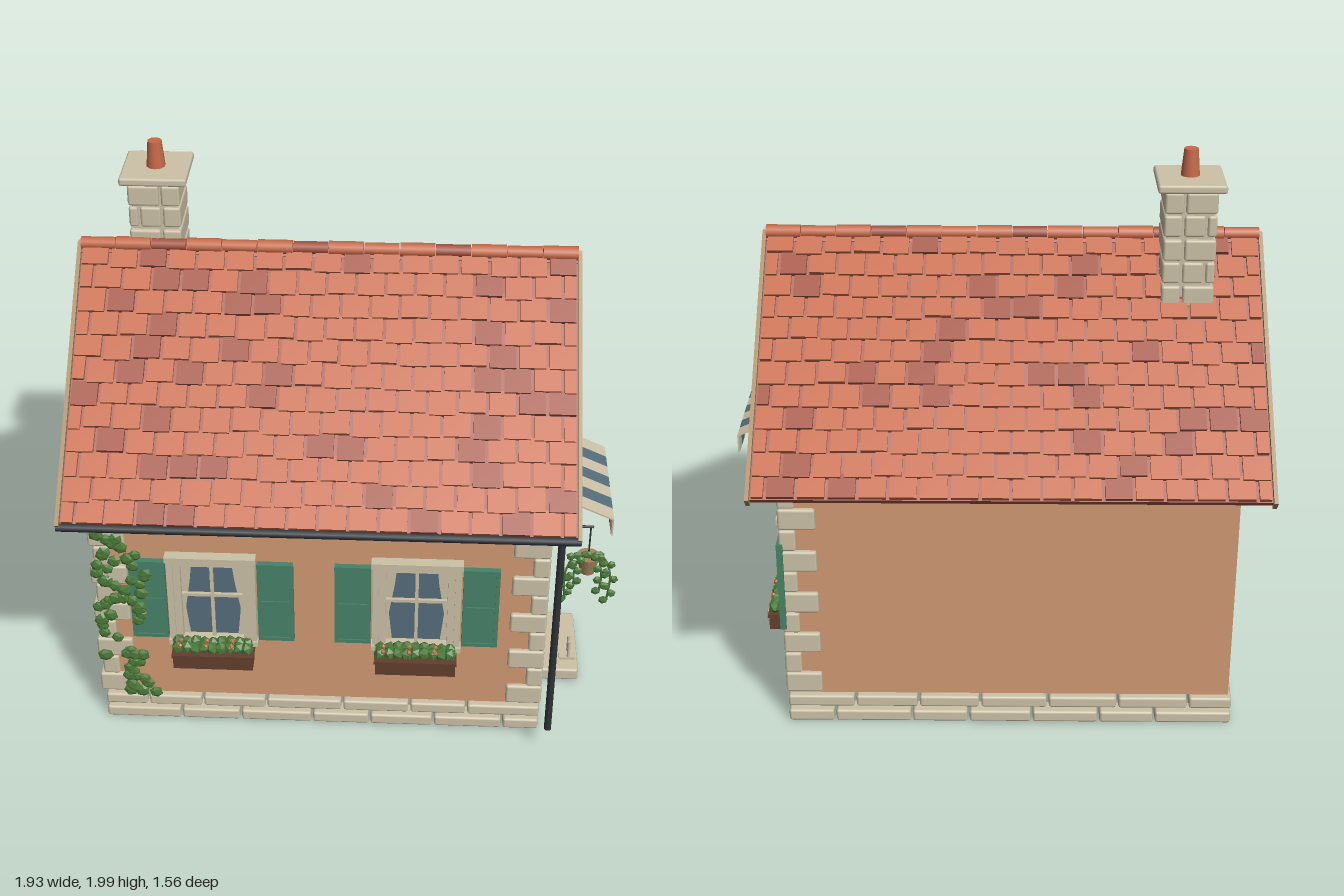
import * as THREE from 'three';
import { mergeGeometries } from 'three/addons/utils/BufferGeometryUtils.js';
import { RoundedBoxGeometry } from 'three/addons/geometries/RoundedBoxGeometry.js';

const colour = (name, hex, side = THREE.FrontSide) => {
  const m = new THREE.MeshStandardMaterial({ color: hex, side });
  m.name = name;
  return m;
};
const plaster = colour('plaster', 0xd09a72);
const stone = colour('stone', 0xcdc2a8, THREE.DoubleSide);
const tile = colour('terracotta', 0xc66a48);
const darkTile = colour('dark terracotta', 0xa3523f);
const green = colour('painted green', 0x488269);
const glass = colour('blue glass', 0x566d7b, THREE.DoubleSide);
const leaf = colour('leaf green', 0x4c7a3a);
const wood = colour('dark wood', 0x633f2c);
const timber = colour('pale timber', 0xa5875f);
const iron = colour('dark iron', 0x2e3238);

let seed = 11;
const rand = () => (seed = (seed * 16807) % 2147483647) / 2147483647;
const CX = -0.075, LEFT = -0.86, RIGHT = 0.71, FRONT = 0.62, BASE = 0.12, EAVE = 1.06;

// Geometry helpers
const at = (g, x, y, z, rx = 0, ry = 0, rz = 0) => g.rotateX(rx).rotateY(ry).rotateZ(rz).translate(x, y, z);
const box = (w, h, d, x, y, z, rx, ry, rz) => at(new THREE.BoxGeometry(w, h, d), x, y, z, rx, ry, rz);
const block = (w, h, d, x, y, z) => at(new RoundedBoxGeometry(w, h, d, 1, 0.009), x, y, z);
const rod = (r, h, x, y, z, rx, ry, rz) => at(new THREE.CylinderGeometry(r, r, h, 10), x, y, z, rx, ry, rz);
const blob = (r, x, y, z, flat = 1) =>
  at(new THREE.IcosahedronGeometry(r, 0).rotateZ(rand() * 6).scale(1, 1, flat), x, y, z);
function part(parent, name, material, geos) {
  const clean = [].concat(geos).map((g) => {
    const n = g.index ? g.toNonIndexed() : g;
    n.deleteAttribute('uv');
    return n;
  });
  const mesh = new THREE.Mesh(mergeGeometries(clean), material);
  mesh.name = name;
  parent.add(mesh);
}
function group(parent, name, x = 0, y = 0, z = 0, ry = 0) {
  const g = new THREE.Group();
  g.name = name;
  g.position.set(x, y, z);
  g.rotation.y = ry;
  parent.add(g);
  return g;
}

// Wall panel from an outline, with window openings, facing +z
function wall(points, openings = []) {
  const shape = new THREE.Shape(points.map((p) => new THREE.Vector2(...p)));
  for (const x of openings) {
    shape.holes.push(new THREE.Path([[-0.115, 0.39], [-0.115, 0.74], [0.115, 0.74], [0.115, 0.39]]
      .map(([a, b]) => new THREE.Vector2(x + a, b))));
  }
  return new THREE.ExtrudeGeometry(shape, { depth: 0.03, bevelEnabled: false }).translate(0, 0, -0.03);
}

function buildWalls(house) {
  const long = [[LEFT, BASE], [RIGHT, BASE], [RIGHT, EAVE], [LEFT, EAVE]];
  const gable = [[-0.59, BASE], [0.59, BASE], [0.59, 1.085], [0, 1.6], [-0.59, 1.085]];
  part(house, 'walls', plaster, [
    at(wall(long, [-0.46, 0.265]), 0, 0, FRONT),
    at(wall(long), 0, 0, -FRONT + 0.03),
    at(wall(gable, [0.355]), RIGHT, 0, 0, 0, Math.PI / 2),
    at(wall(gable), LEFT, 0, 0, 0, -Math.PI / 2),
  ]);

  // Two courses of foundation stones around the house
  const stones = [];
  const course = (len, y, shift, place) => {
    for (let a = -len / 2; a < len / 2 - 0.01;) {
      let w = a === -len / 2 ? shift : 0.2 + rand() * 0.09;
      if (a + w > len / 2 - 0.1) w = len / 2 - a;
      place(a + w / 2, w - 0.008, y);
      a += w;
    }
  };
  [0.033, 0.095].forEach((y, row) => {
    for (const s of [-1, 1]) {
      course(1.6, y, 0.28 - row * 0.12, (c, w) => stones.push(block(w, 0.044, 0.07, CX + c, y, s * 0.608)));
      course(1.14, y, 0.15 + row * 0.1, (c, w) => stones.push(block(0.07, 0.044, w, CX + s * 0.765, y, c)));
    }
  });
  part(house, 'foundationStones', stone, stones);

  // Corner stones, alternating long and short, on three corners
  const corners = [];
  for (const [sx, sz] of [[1, 1], [-1, 1], [1, -1]]) {
    for (let i = 0; i < 11; i++) {
      const w = i % 2 ? 0.06 : 0.13, d = i % 2 ? 0.07 : 0.095;
      const edge = sx > 0 ? 0.727 : i % 2 ? -0.873 : -0.888;
      corners.push(block(w, 0.08, d, edge - sx * w / 2, 0.17 + i * 0.083, sz * (0.637 - d / 2)));
    }
  }
  part(house, 'cornerStones', stone, corners);
}

function buildRoof(house) {
  const roof = group(house, 'roof', CX, 1.652, 0);
  const angle = Math.atan(0.868), length = 1.013, rows = 12, pitch = length / rows, cols = 17, cw = 1.742 / cols;
  for (const ry of [0, Math.PI]) {
    const slope = group(group(roof, 'roofSide', 0, 0, 0, ry), 'roofSlope');
    slope.rotation.x = angle;
    part(slope, 'roofDeck', darkTile, box(1.745, 0.025, length, 0, -0.022, length / 2));
    part(slope, 'bargeBoards', timber, [-1, 1].map((s) => box(0.014, 0.045, 1.025, s * 0.879, -0.012, 0.5125)));
    const light = [], dark = [];
    for (let r = 0; r < rows; r++) {
      for (let c = 0; c < cols + (r % 2); c++) {
        const x0 = Math.max(0, (c - (r % 2) / 2) * cw), x1 = Math.min(cols * cw, (c + 1 - (r % 2) / 2) * cw);
        const slip = r === rows - 1 ? 0 : rand() * 0.014;
        (rand() < 0.2 ? dark : light).push(box(x1 - x0 - 0.012, 0.016, pitch + 0.004,
          (x0 + x1) / 2 - 0.871, 0.001, (r + 0.5) * pitch + slip - 0.003, -0.11));
      }
    }
    part(slope, 'roofTiles', tile, light);
    part(slope, 'darkRoofTiles', darkTile, dark);
  }
  const ridge = [[], []];
  for (let i = 0; i < 14; i++) {
    ridge[i % 4 === 2 ? 1 : 0].push(rod(i % 2 ? 0.026 : 0.023, 0.122, -0.813 + i * 0.125, 0, 0, 0, 0, Math.PI / 2));
  }
  part(roof, 'ridgeTiles', tile, ridge[0]);
  part(roof, 'darkRidgeTiles', darkTile, ridge[1]);

  // Gutter and downpipe
  part(house, 'gutter', iron, [
    rod(0.016, 1.77, CX, 0.967, 0.758, 0, 0, Math.PI / 2),
    rod(0.013, 0.85, 0.747, 0.545, 0.753),
  ]);

  // Chimney of staggered stones with a cap and clay pot
  const chimney = group(house, 'chimney', -0.685, 0, -0.11);
  const stones = [box(0.16, 0.42, 0.18, 0, 1.67, 0)];
  for (let i = 0; i < 5; i++) {
    const y = 1.495 + i * 0.085, cuts = i % 2 ? [-0.095, -0.055, 0.025, 0.095] : [-0.095, 0.022, 0.095];
    for (let k = 0; k < cuts.length - 1; k++) {
      const w = cuts[k + 1] - cuts[k];
      stones.push(block(w - 0.008, 0.076, i % 2 ? 0.2 : 0.214, cuts[k] + w / 2, y, 0));
    }
  }
  stones.push(block(0.236, 0.03, 0.24, 0, 1.89, -0.005));
  part(chimney, 'chimneyStones', stone, stones);
  part(chimney, 'chimneyPot', tile, at(new THREE.CylinderGeometry(0.025, 0.034, 0.1, 10), 0, 1.95, 0));
}

// Window facing +z: frame, glass, curtains, shutters and flower box
function buildWindow(house, name, x, z, ry) {
  const w = group(house, name, x, 0, z, ry);
  part(w, 'glass', glass, at(new THREE.PlaneGeometry(0.23, 0.35), 0, 0.565, -0.01));
  const outline = [[0.112, 0.735], [0.07, 0.735], [0.078, 0.65], [0.098, 0.52], [0.09, 0.44], [0.085, 0.395], [0.112, 0.395]];
  part(w, 'curtains', stone, [-1, 1].map((s) => at(new THREE.ShapeGeometry(
    new THREE.Shape(outline.map(([a, b]) => new THREE.Vector2(s * a, b)))), 0, 0, -0.006)));
  const frame = [box(0.32, 0.022, 0.05, 0, 0.759, 0.015), box(0.3, 0.022, 0.036, 0, 0.738, 0.01),
    box(0.32, 0.02, 0.05, 0, 0.39, 0.015), box(0.012, 0.34, 0.012, 0, 0.565, 0.002), box(0.22, 0.012, 0.012, 0, 0.585, 0.002)];
  const shutters = [];
  for (const s of [-1, 1]) {
    frame.push(box(0.022, 0.35, 0.04, s * 0.145, 0.565, 0.01), box(0.026, 0.35, 0.026, s * 0.122, 0.565, 0.008));
    shutters.push(box(0.128, 0.34, 0.016, s * 0.226, 0.57, 0.012));
    for (const e of [-0.057, 0.057]) shutters.push(box(0.014, 0.34, 0.022, s * 0.226 + e, 0.57, 0.014));
    for (const y of [0.407, 0.57, 0.733]) shutters.push(box(0.128, 0.014, 0.022, s * 0.226, y, 0.014));
  }
  part(w, 'windowFrame', stone, frame);
  part(w, 'shutters', green, shutters);
  part(w, 'flowerBox', wood, [box(0.286, 0.055, 0.07, 0, 0.335, 0.05), box(0.295, 0.012, 0.078, 0, 0.363, 0.05)]);
  const plants = [], petals = [];
  for (let i = 0; i < 18; i++) {
    const px = -0.125 + (i % 9) * 0.031, pz = 0.035 + Math.floor(i / 9) * 0.03;
    plants.push(blob(0.024, px, 0.388 + rand() * 0.01, pz));
    if (i % 3 === 0) petals.push(blob(0.009, px + 0.01, 0.408, pz + 0.012));
  }
  part(w, 'boxPlants', leaf, plants);
  part(w, 'boxFlowers', tile, petals);
}

function buildEntrance(house) {
  // Plank door in a stone surround
  const door = group(house, 'door', RIGHT, 0, 0.195, Math.PI / 2);
  const planks = [box(0.27, 0.66, 0.008, 0, 0.45, 0.004)];
  for (let i = -2; i <= 2; i++) planks.push(box(0.05, 0.66, 0.016, i * 0.054, 0.45, 0.008));
  part(door, 'doorPlanks', green, planks);
  part(door, 'doorFrame', stone, [box(0.33, 0.035, 0.04, 0, 0.79, 0.015),
    ...[-1, 1].flatMap((s) => [box(0.03, 0.66, 0.04, s * 0.151, 0.45, 0.015), box(0.014, 0.66, 0.025, s * 0.172, 0.45, 0.01)])]);
  part(door, 'doorKnob', wood, at(new THREE.SphereGeometry(0.012, 10, 8), 0.105, 0.44, 0.026));

  // Striped awning with a hanging front edge
  const stripes = [[], []];
  for (let i = 0; i < 7; i++) {
    const z = 0.423 - i * 0.065;
    stripes[i % 2].push(box(0.255, 0.006, 0.065, 0.834, 0.892, z, 0, 0, -0.428), box(0.006, 0.07, 0.065, 0.949, 0.805, z));
  }
  part(house, 'awningPale', stone, stripes[0]);
  part(house, 'awningBlue', glass, stripes[1]);
  part(house, 'awningRod', iron, rod(0.008, 0.49, 0.722, 0.95, 0.205, Math.PI / 2));

  // Doorstep with a boot scraper
  part(house, 'doorstep', stone, [block(0.15, 0.05, 0.345, 0.81, 0.034, 0.192)]);
  part(house, 'bootScraper', stone, [box(0.06, 0.012, 0.05, 0.845, 0.064, 0.28),
    ...[0.262, 0.298].map((z) => rod(0.006, 0.085, 0.85, 0.1, z)), box(0.008, 0.012, 0.04, 0.85, 0.1, 0.28)]);

  // Round attic window
  const attic = group(house, 'atticWindow', RIGHT, 1.33, 0, Math.PI / 2);
  part(attic, 'atticFrame', stone, new THREE.TorusGeometry(0.069, 0.014, 8, 32));
  part(attic, 'atticGlass', glass, at(new THREE.CircleGeometry(0.068, 32), 0, 0, 0.004));
}

function buildPlants(house) {
  // Ivy climbing the left front corner
  const ivy = [];
  for (const run of [[[-0.75, 0.94], [-0.83, 0.85], [-0.74, 0.77], [-0.72, 0.7], [-0.74, 0.6], [-0.7, 0.47]],
    [[-0.8, 0.78], [-0.84, 0.68], [-0.79, 0.6], [-0.85, 0.5], [-0.83, 0.4]],
    [[-0.84, 0.32], [-0.75, 0.31], [-0.79, 0.24], [-0.72, 0.19], [-0.78, 0.15], [-0.7, 0.13]]]) {
    const path = new THREE.CatmullRomCurve3(run.map(([x, y]) => new THREE.Vector3(x, y, 0.643)));
    for (const p of path.getSpacedPoints(21)) {
      ivy.push(blob(0.022 + rand() * 0.008, p.x + (rand() - 0.5) * 0.07, p.y + (rand() - 0.5) * 0.03, p.z, 0.4));
    }
  }
  part(house, 'ivy', leaf, ivy);

  // Hanging basket with trailing stems on an iron bracket
  const basket = group(house, 'hangingBasket', 0.86, 0, 0.57);
  part(basket, 'basketBracket', iron, [rod(0.005, 0.16, -0.07, 0.892, 0, 0, 0, Math.PI / 2), rod(0.003, 0.13, 0, 0.83, 0)]);
  part(basket, 'basketPot', timber, at(new THREE.CylinderGeometry(0.042, 0.026, 0.07, 12), 0, 0.73, -0.005));
  const leaves = [], stems = [];
  for (const [reach, drop] of [[-0.08, 0.6], [-0.05, 0.66], [0.045, 0.64], [0.075, 0.6]]) {
    const path = new THREE.CatmullRomCurve3([[0, 0.77, 0], [reach * 0.6, 0.785, 0.025], [reach, 0.72, 0.035], [reach * 0.95, drop, 0.035]]
      .map((p) => new THREE.Vector3(...p)));
    stems.push(new THREE.TubeGeometry(path, 14, 0.004, 5));
    path.getSpacedPoints(8).forEach((p, i) => leaves.push(blob(0.017, p.x + (i % 2 ? 0.012 : -0.012), p.y, p.z, 0.5)));
  }
  part(basket, 'basketLeaves', leaf, [...stems, ...leaves]);
}

export function createModel() {
  const house = new THREE.Group();
  house.name = 'cottage';
  buildWalls(house);
  buildRoof(house);
  buildWindow(house, 'frontWindowLeft', 0.265, FRONT, 0);
  buildWindow(house, 'frontWindowRight', -0.46, FRONT, 0);
  buildWindow(house, 'sideWindow', RIGHT, -0.355, Math.PI / 2);
  buildEntrance(house);
  buildPlants(house);
  return house;
}
